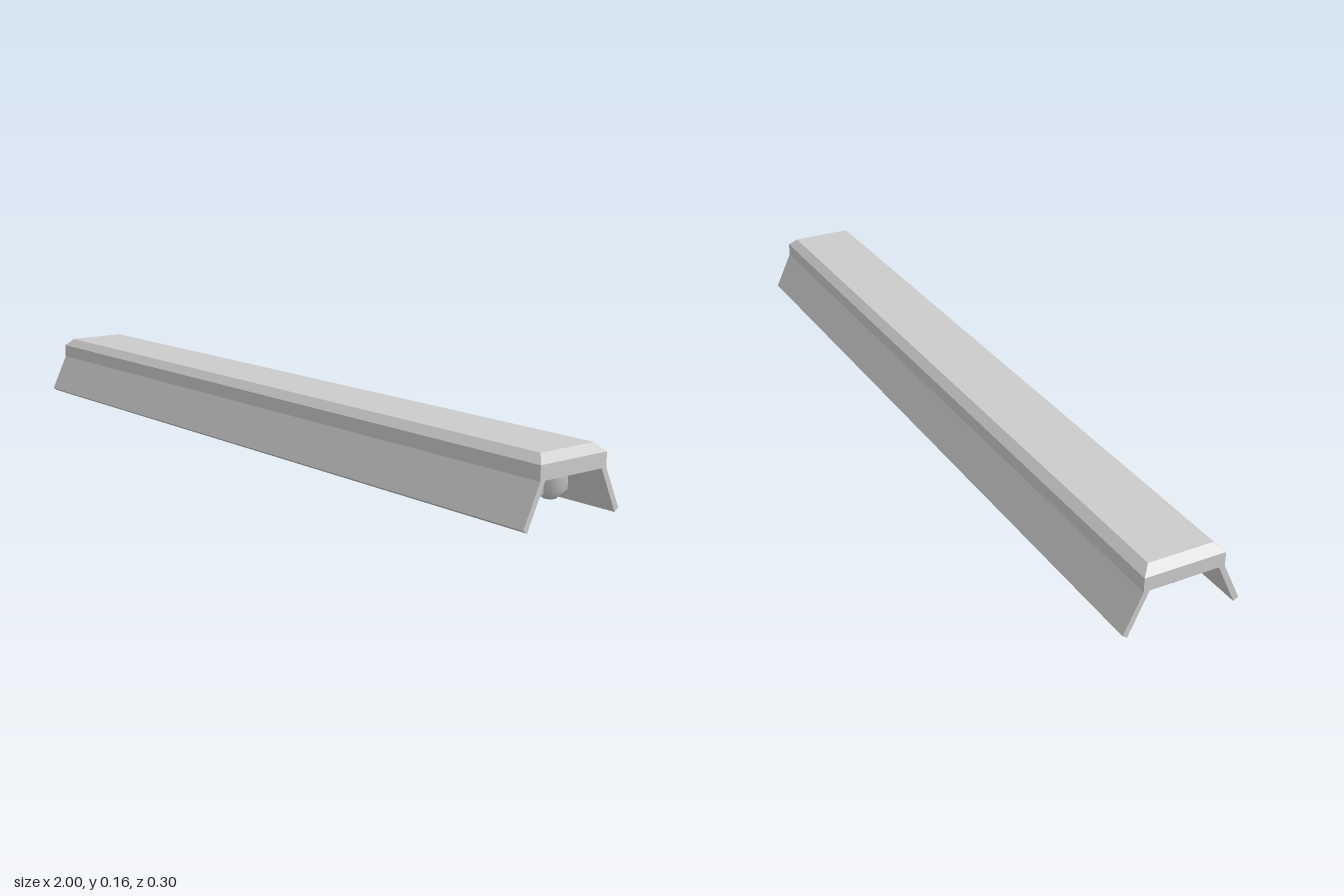
import * as THREE from 'three';

const grey = new THREE.MeshStandardMaterial({ color: 0xcccccc });
const flat = new THREE.MeshStandardMaterial({ color: 0xcccccc, flatShading: true });

function addMesh(parent, name, geometry, material) {
  const mesh = new THREE.Mesh(geometry, material);
  mesh.name = name;
  parent.add(mesh);
  return mesh;
}

// Extrudes a (z, y) outline along the full length of the fixture
function lengthwise(points) {
  const shape = new THREE.Shape(points.map(([z, y]) => new THREE.Vector2(-z, y)));
  const geometry = new THREE.ExtrudeGeometry(shape, { depth: 2, bevelEnabled: false });
  return geometry.translate(0, 0, -1).rotateY(Math.PI / 2);
}

export function createModel() {
  const group = new THREE.Group();
  group.name = 'lightFixture';

  // Housing: a long box whose upper rim is chamfered on all four sides
  const body = new THREE.BoxGeometry(2, 0.055, 0.206, 1, 2, 1).translate(0, 0.1325, 0);
  const p = body.attributes.position;
  for (let i = 0; i < p.count; i++) {
    const y = p.getY(i);
    if (y > 0.15) {
      p.setXYZ(i, Math.sign(p.getX(i)) * 0.98, 0.16, Math.sign(p.getZ(i)) * 0.083);
    } else if (y > 0.12) {
      p.setY(i, 0.14);
    }
  }
  addMesh(group, 'housing', body, flat);

  for (const side of [1, -1]) {
    // Slanted reflector wing
    const outline = [[0.103, 0.105], [0.149, 0.008], [0.137, 0], [0.088, 0.105]];
    addMesh(group, side > 0 ? 'frontReflector' : 'backReflector',
      lengthwise(outline.map(([z, y]) => [z * side, y])), flat);

    // Lamp tube
    const z = side * 0.0385;
    const tube = addMesh(group, 'lampTube',
      new THREE.CylinderGeometry(0.022, 0.022, 1.8, 24, 1, true).rotateZ(Math.PI / 2), grey);
    tube.position.set(0, 0.055, z);

    // Round lamp holders with a chamfered lower end
    const profile = [[0, 0.027], [0.015, 0.027], [0.0385, 0.05], [0.0385, 0.106]]
      .map(([r, y]) => new THREE.Vector2(r, y));
    for (const x of [-0.9, 0.9]) {
      const holder = addMesh(group, 'lampHolder', new THREE.LatheGeometry(profile, 32), grey);
      holder.position.set(x, 0, z);
    }
  }
  return group;
}
